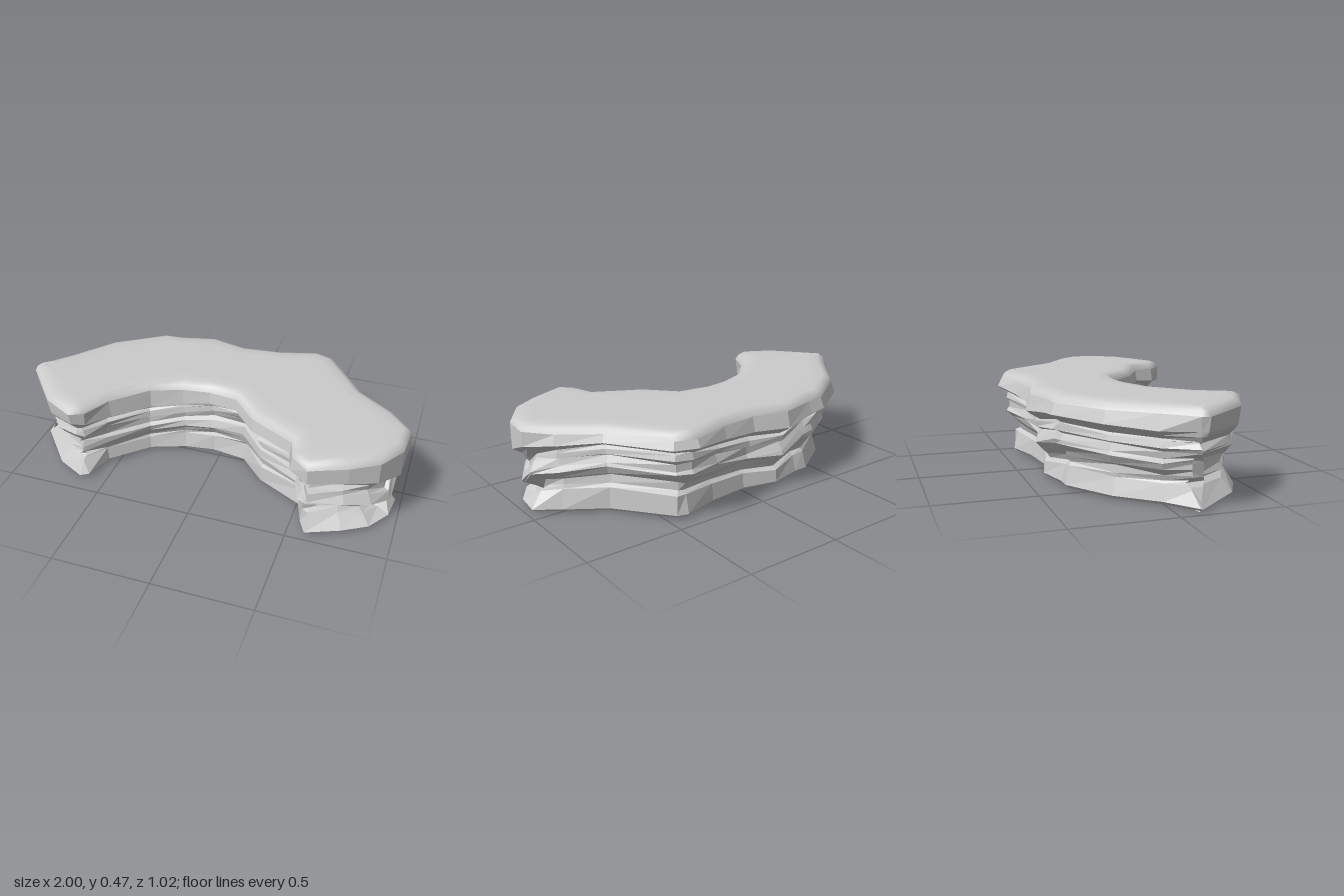
import * as THREE from 'three';

const HEIGHT = 0.47;

// Plan outline: [x, z, height shift of the strata]; back edge, then left end, inner curve, right end
const back = [[-0.88, -0.06, 0], [-0.72, -0.26, 0.02], [-0.47, -0.43, 0.03], [-0.37, -0.44, 0.02],
  [-0.18, -0.485, -0.01], [0.01, -0.44, 0], [0.2, -0.46, 0.02], [0.4, -0.515, 0.05], [0.52, -0.475, 0.05],
  [0.725, -0.2, 0.055], [0.91, -0.07, 0.035]];
const leftEnd = [[1, 0.07, 0], [0.985, 0.22, -0.09], [0.9, 0.35, -0.05], [0.77, 0.43, -0.02],
  [0.59, 0.505, 0]];
const inner = [[0.5, 0.43, 0.01], [0.47, 0.32, 0.02], [0.24, 0.2, 0.02], [0.11, 0.06, 0.03],
  [-0.04, 0.04, 0.02], [-0.18, 0.06, 0], [-0.34, 0.12, -0.03], [-0.5, 0.28, -0.02]];
const rightEnd = [[-0.57, 0.42, 0], [-0.64, 0.455, 0.02], [-0.8, 0.37, -0.01], [-1, 0.13, 0.01], [-0.99, 0.09, 0.01]];

// Strata heights from base to slab, and how far each zone is set in at those heights
const strata = [0.005, 0.02, 0.095, 0.11, 0.14, 0.165, 0.2, 0.215, 0.255, 0.27, 0.3, 0.31, 0.335, 0.355, 0.43];
const backInsets = [0.1, 0.085, 0.1, 0.12, 0.11, 0.08, 0.05, 0.06, 0.07, 0.045, 0.05, 0.06, 0.03, 0, 0.02];
const leftInsets = [0.05, 0.03, 0.1, 0.13, 0.13, 0.09, 0.045, 0.035, 0.06, 0.07, 0.08, 0.07, 0.03, 0, 0];
const innerInsets = [0.08, 0.06, 0.07, 0.08, 0.06, 0.04, 0.05, 0.07, 0.06, 0.035, 0.04, 0.05, 0.03, -0.01, 0];
const rightInsets = [0.05, 0.03, 0.09, 0.12, 0.09, 0.09, 0.1, 0.08, 0.04, 0.03, 0.05, 0.04, 0.02, 0.01, 0];

const zone = (points, insets) => points.map(([x, z, wave]) => ({ x, z, wave, insets }));
const outline = [
  ...zone(back, backInsets), ...zone(leftEnd, leftInsets),
  ...zone(inner, innerInsets), ...zone(rightEnd, rightInsets),
];
const N = outline.length;
outline.forEach((p, i) => {
  const a = outline[(i + N - 1) % N], b = outline[(i + 1) % N];
  const len = Math.hypot(b.x - a.x, b.z - a.z);
  p.nx = (b.z - a.z) / len;
  p.nz = -(b.x - a.x) / len;
});

const noise = (a, b) => {
  const s = Math.sin(a * 12.99 + b * 78.23) * 43758.55;
  return (s - Math.floor(s)) * 2 - 1;
};

function offsetPoint(p, inset, y) {
  return [p.x - p.nx * inset, y, p.z - p.nz * inset];
}

// Joins consecutive rings of N vertices with outward-facing quads
function joinRings(count) {
  const index = [];
  for (let j = 0; j < count - 1; j++) {
    for (let i = 0; i < N; i++) {
      const k = (i + 1) % N;
      const a = j * N + i, b = j * N + k, c = a + N, d = b + N;
      index.push(a, c, b, b, c, d);
    }
  }
  return index;
}

// Fills one ring, facing up or down
function fillRing(positions, start, up) {
  const flat = [];
  for (let i = start; i < start + N; i++) flat.push(new THREE.Vector2(positions[i * 3], positions[i * 3 + 2]));
  const index = [];
  for (const [a, b, c] of THREE.ShapeUtils.triangulateShape(flat, [])) {
    const ab = flat[b].clone().sub(flat[a]), ac = flat[c].clone().sub(flat[a]);
    const facesUp = ab.cross(ac) < 0;
    index.push(start + a, ...(facesUp === up ? [start + b, start + c] : [start + c, start + b]));
  }
  return index;
}

function makeMesh(name, positions, index, flatShading) {
  const geometry = new THREE.BufferGeometry();
  geometry.setAttribute('position', new THREE.Float32BufferAttribute(positions, 3));
  geometry.setIndex(index);
  geometry.computeVertexNormals();
  const material = new THREE.MeshStandardMaterial({ color: 0xcccccc, flatShading, side: THREE.DoubleSide });
  const mesh = new THREE.Mesh(geometry, material);
  mesh.name = name;
  return mesh;
}

export function createModel() {
  const group = new THREE.Group();
  group.name = 'curvedRockLedge';

  // Faceted, layered cliff sides with the underside
  const sides = [];
  strata.forEach((y, j) => {
    const rough = j > 1 && j < strata.length - 2 ? 1 : 0;
    const lift = j > 1 && j < strata.length - 1 ? Math.sin(Math.PI * y / HEIGHT) : 0;
    outline.forEach((p, i) => {
      const inset = p.insets[j] + rough * noise(i, j) * 0.012;
      const ground = j < 2 ? Math.abs(p.z) * 0.02 - 0.004 : 0;
      const shift = p.wave * lift + rough * noise(j, i) * 0.006 + ground;
      sides.push(...offsetPoint(p, inset, Math.max(0, y + shift)));
    });
  });
  const sideIndex = [...joinRings(strata.length), ...fillRing(sides, 0, false)];
  group.add(makeMesh('layeredCliff', sides, sideIndex, true));

  // Smooth top slab with a rounded rim
  const rim = [[0, 0.43], [0.015, 0.455], [0.045, 0.468], [0.1, HEIGHT]];
  const top = [];
  for (const [inset, y] of rim) {
    outline.forEach((p) => top.push(...offsetPoint(p, inset + p.insets.at(-1), y)));
  }
  const topIndex = [...joinRings(rim.length), ...fillRing(top, (rim.length - 1) * N, true)];
  group.add(makeMesh('smoothTop', top, topIndex, false));

  return group;
}
